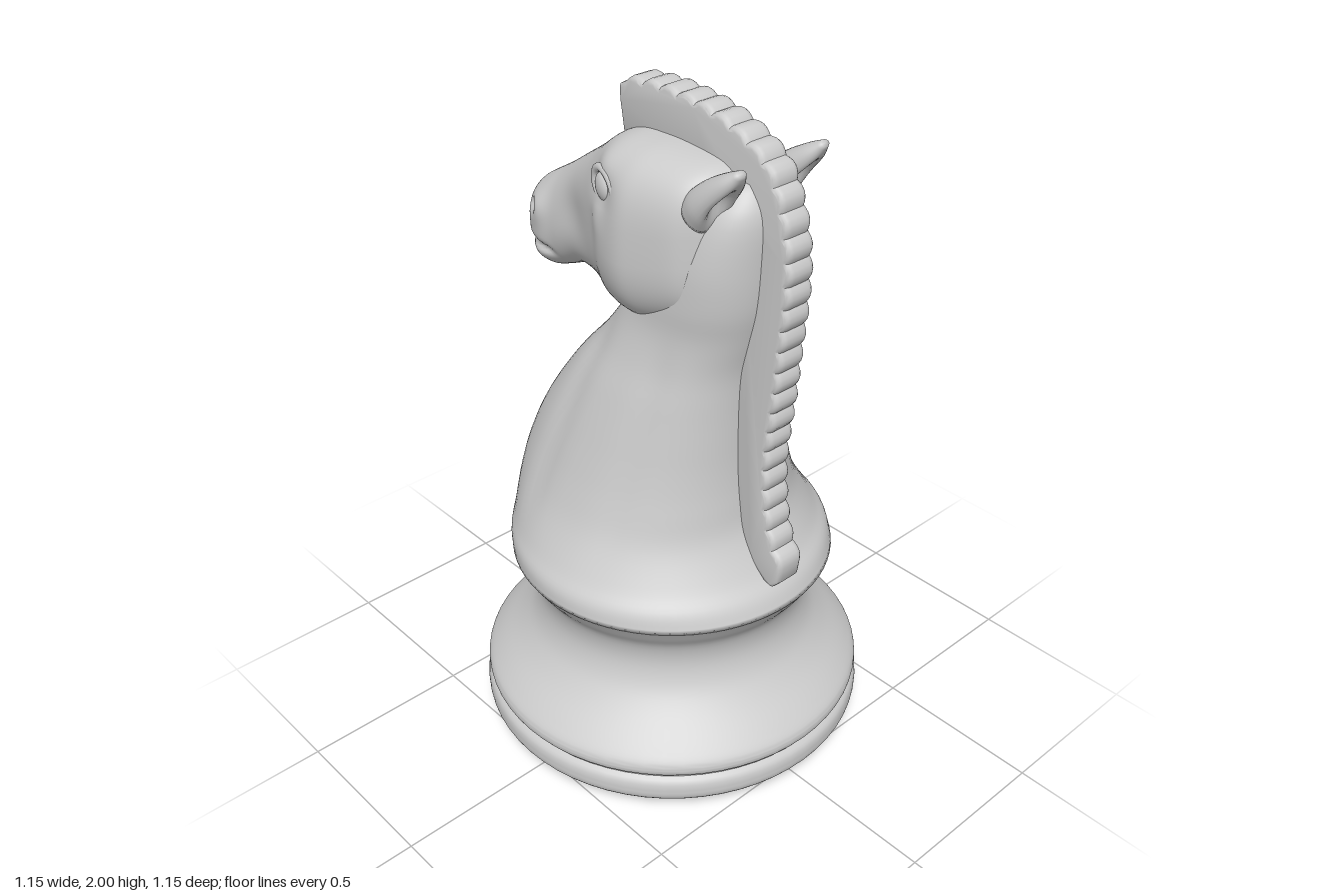
import * as THREE from 'three';
import { toCreasedNormals } from 'three/addons/utils/BufferGeometryUtils.js';

const grey = new THREE.MeshStandardMaterial({ color: 0xcccccc });
const flat = new THREE.MeshStandardMaterial({ color: 0xcccccc, flatShading: true });
const { smoothstep } = THREE.MathUtils;
const gauss = (d, r) => Math.exp(-((d / r) ** 2));
const points = pairs => pairs.map(p => new THREE.Vector2(...p));

function part(name, geometry, material = grey) {
  const mesh = new THREE.Mesh(geometry, material);
  mesh.name = name;
  return mesh;
}

// Smooth stations [position, low, high, halfWidth] into `count` interpolated ones
function smoothStations(stations, count) {
  const a = new THREE.CatmullRomCurve3(stations.map(s => new THREE.Vector3(s[0], s[1], s[2])), false, 'catmullrom', 0.5);
  const b = new THREE.CatmullRomCurve3(stations.map(s => new THREE.Vector3(s[3], 0, 0)), false, 'catmullrom', 0.5);
  return Array.from({ length: count }, (_, i) => {
    const p = a.getPoint(i / (count - 1));
    return [p.x, p.y, p.z, Math.max(0.005, b.getPoint(i / (count - 1)).x)];
  });
}

// Skin closed superellipse rings; power(station) sets squareness, place(u, v, station) makes a point
function loft(stations, sides, power, place) {
  const pos = [], index = [], rows = stations.length;
  for (const s of stations) {
    const sp = v => Math.sign(v) * Math.abs(v) ** (2 / power(s));
    for (let j = 0; j < sides; j++) {
      const t = (j / sides) * Math.PI * 2;
      pos.push(...place(sp(Math.cos(t)), sp(Math.sin(t)), s));
    }
  }
  for (let i = 0; i < rows - 1; i++) {
    for (let j = 0; j < sides; j++) {
      const k = (j + 1) % sides, a = i * sides, b = a + sides;
      index.push(a + j, a + k, b + k, a + j, b + k, b + j);
    }
  }
  pos.push(...place(0, 0, stations[0]), ...place(0, 0, stations[rows - 1]));
  const c = rows * sides, last = (rows - 1) * sides;
  for (let j = 0; j < sides; j++) {
    const k = (j + 1) % sides;
    index.push(c, k, j, c + 1, last + j, last + k);
  }
  const g = new THREE.BufferGeometry();
  g.setAttribute('position', new THREE.Float32BufferAttribute(pos, 3));
  g.setIndex(index);
  g.computeVertexNormals();
  return g;
}

// Turned pedestal with a double rim and a waist
function makeBase() {
  const group = new THREE.Group();
  group.name = 'base';
  const lowerRim = new THREE.SplineCurve(points([[0.565, 0.07], [0.574, 0.085], [0.576, 0.11], [0.571, 0.135], [0.555, 0.15]])).getPoints(12);
  const upper = new THREE.SplineCurve(points([[0.555, 0.153], [0.566, 0.165], [0.57, 0.182], [0.563, 0.205], [0.53, 0.24], [0.465, 0.3],
    [0.42, 0.36], [0.4, 0.43], [0.41, 0.5], [0.445, 0.555], [0.474, 0.6]])).getPoints(40);
  group.add(part('pedestal', toCreasedNormals(new THREE.LatheGeometry([...lowerRim, ...upper], 64), 0.9)));

  // Dished underside with shallow flutes
  const under = new THREE.LatheGeometry(points([[0, 0.042], [0.22, 0.036], [0.39, 0], [0.565, 0.07]]), 48);
  const p = under.attributes.position;
  for (let i = 0; i < p.count; i++) {
    if (i % 4 === 2 && Math.floor(i / 4) % 2) p.setY(i, 0.016);
  }
  group.add(part('underside', under, flat));
  return group;
}

// Chest and neck: horizontal slices [y, front z, back z, half width]
function makeNeck() {
  const stations = smoothStations([
    [0.6, -0.474, 0.474, 0.474], [0.65, -0.476, 0.45, 0.468], [0.7, -0.473, 0.405, 0.437], [0.8, -0.466, 0.345, 0.384],
    [0.9, -0.442, 0.325, 0.346], [1.0, -0.4, 0.315, 0.314], [1.1, -0.338, 0.312, 0.283], [1.2, -0.262, 0.312, 0.25],
    [1.3, -0.172, 0.318, 0.213], [1.4, -0.1, 0.342, 0.187], [1.5, -0.02, 0.365, 0.182], [1.62, 0.06, 0.375, 0.17],
    [1.75, 0.15, 0.375, 0.13], [1.83, 0.22, 0.34, 0.06]], 56);
  const power = ([y]) => 2 + 0.2 * smoothstep(y, 0.6, 0.9);
  return part('neck', loft(stations, 72, power, (u, v, [y, front, back, w]) => {
    const z = (front + back) / 2 - v * (back - front) / 2;
    // Muscle grooves: one upright behind the shoulder, one curving down the chest
    const fade = smoothstep(y, 0.66, 0.9) * (1 - smoothstep(y, 1.25, 1.42));
    const groove = 0.008 * gauss(z - 0.17 + (1.35 - y) * 0.1, 0.04) + 0.012 * gauss(z + 0.08 + (1.35 - y) * 0.2, 0.04);
    return [u * (w - fade * groove), y, z];
  }));
}

// Head: upright slices from poll to muzzle [z, under y, top y, half width]
function makeHead() {
  const stations = smoothStations([
    [0.36, 1.55, 1.74, 0.06], [0.3, 1.5, 1.82, 0.115], [0.25, 1.46, 1.855, 0.165], [0.2, 1.428, 1.868, 0.2], [0.1, 1.39, 1.876, 0.224],
    [0.03, 1.38, 1.876, 0.23], [-0.05, 1.38, 1.87, 0.21], [-0.12, 1.392, 1.845, 0.176], [-0.2, 1.4, 1.79, 0.145],
    [-0.3, 1.392, 1.725, 0.117], [-0.38, 1.36, 1.672, 0.108], [-0.44, 1.338, 1.636, 0.109], [-0.49, 1.343, 1.605, 0.095],
    [-0.525, 1.375, 1.57, 0.064], [-0.54, 1.44, 1.52, 0.025]], 96);
  // Surface relief [y, z, radius, height]: brow, socket, lower lid, nostril rim and hole, cheek, hollow, lip
  const relief = [[1.81, -0.06, 0.05, 0.016], [1.742, -0.055, 0.06, -0.018], [1.67, -0.07, 0.04, 0.008],
    [1.545, -0.46, 0.045, 0.014], [1.535, -0.475, 0.018, -0.024], [1.57, 0.03, 0.13, 0.006],
    [1.58, -0.27, 0.08, -0.012], [1.385, -0.46, 0.035, 0.008]];
  // Square at the skull, rounder toward the muzzle
  const power = ([z]) => 3 - 0.8 * smoothstep(-z, 0.05, 0.45);
  return part('head', loft(stations, 80, power, (u, v, [z, low, high, w]) => {
    const y = (low + high) / 2 - v * (high - low) / 2;
    let x = u * w;
    for (const [cy, cz, r, h] of relief) x += u * h * gauss(Math.hypot(y - cy, z - cz), r);
    // Mouth line around the muzzle
    const mouth = gauss(y - 1.425 + (z + 0.5) * 0.15, 0.014) * smoothstep(-z, 0.38, 0.43);
    return [x * (1 - 0.15 * mouth), y, z + 0.012 * mouth * smoothstep(-z, 0.48, 0.53)];
  }));
}

// Eyeball with an almond lid, for one side
function makeEye(side) {
  const eye = new THREE.Group();
  eye.name = side > 0 ? 'leftEye' : 'rightEye';
  const ball = part('eyeball', new THREE.SphereGeometry(0.042, 24, 16));
  ball.scale.set(1.1, 0.9, 0.5);
  const lid = part('eyelid', new THREE.TorusGeometry(0.049, 0.012, 10, 32));
  lid.scale.set(1.3, 0.9, 1);
  eye.add(ball, lid);
  eye.position.set(side * 0.18, 1.744, -0.055);
  eye.rotation.set(0, side * (Math.PI / 2 + 0.32), side * 0.2);
  return eye;
}

// Pointed ear, swept back, with a hollow on its rear face
function makeEar(side) {
  const stations = smoothStations([[0, -0.055, 0.055, 0.05], [0.05, -0.056, 0.056, 0.056], [0.11, -0.046, 0.046, 0.05],
    [0.17, -0.028, 0.028, 0.036], [0.215, -0.01, 0.01, 0.014]], 20);
  const ear = loft(stations, 28, () => 2, (u, v, [y, a, b, w]) => {
    const hollow = v < 0 ? 0.055 * gauss(u, 0.55) * gauss(y - 0.09, 0.06) : 0;
    return [u * w, y, -v * (b - a) / 2 - hollow];
  });
  const mesh = part(side > 0 ? 'leftEar' : 'rightEar', ear);
  mesh.position.set(side * 0.13, 1.752, 0.24);
  mesh.rotation.set(0.78, side * 0.08, 0, 'YXZ');
  return mesh;
}

// Scalloped mane crest running from forehead to shoulders
function makeMane() {
  const outer = new THREE.SplineCurve(points([[0.472, 0.74], [0.427, 0.83], [0.404, 0.95], [0.4, 1.08], [0.419, 1.25], [0.432, 1.4],
    [0.446, 1.55], [0.444, 1.68], [0.414, 1.8], [0.365, 1.883], [0.267, 1.938], [0.15, 1.968], [0, 1.978], [-0.125, 1.966]]));
  const teeth = 27, steps = teeth * 6, edge = [];
  for (let i = 0; i <= steps; i++) {
    const p = outer.getPointAt(i / steps), t = outer.getTangentAt(i / steps);
    const out = 0.015 * Math.abs(Math.sin((i / 6) * Math.PI)) - 0.006;
    edge.push(new THREE.Vector2(p.x + t.y * out, p.y - t.x * out));
  }
  const inner = points([[-0.143, 1.95], [-0.143, 1.92], [-0.128, 1.83], [0, 1.82], [0.2, 1.8], [0.3, 1.7], [0.3, 1.5], [0.27, 1.3],
    [0.27, 1], [0.29, 0.85], [0.37, 0.74], [0.425, 0.692], [0.445, 0.686], [0.462, 0.705]]);
  const g = new THREE.ExtrudeGeometry(new THREE.Shape([...edge, ...inner]),
    { depth: 0.054, bevelEnabled: true, bevelThickness: 0.018, bevelSize: 0.012, bevelSegments: 3 });
  g.translate(0, 0, -0.027).rotateY(-Math.PI / 2);
  return part('mane', toCreasedNormals(g, 0.8));
}

export function createModel() {
  const model = new THREE.Group();
  model.name = 'chessKnight';
  model.add(makeBase(), makeNeck(), makeHead(), makeMane());
  for (const side of [1, -1]) model.add(makeEye(side), makeEar(side));
  return model;
}
